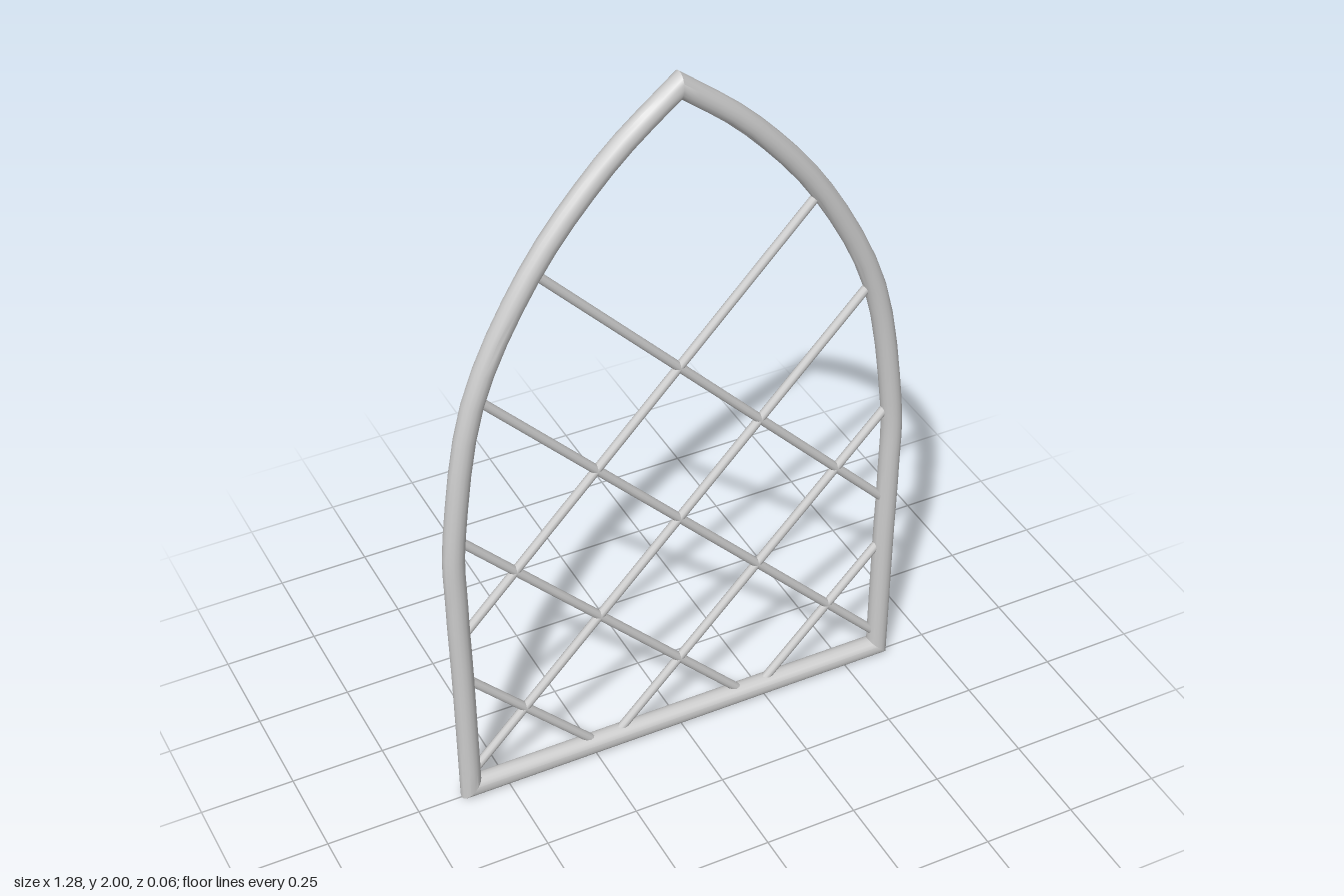
import * as THREE from 'three';
import { toCreasedNormals } from 'three/addons/utils/BufferGeometryUtils.js';

const FRAME_R = 0.028, BAR_R = 0.012, SIDES = 16;
const v2 = (x, y) => new THREE.Vector2(x, y);

// Centre line of the pointed arch, counter-clockwise from the lower right corner
function archOutline() {
  const half = new THREE.SplineCurve([
    v2(0.603, FRAME_R), v2(0.606, 0.4), v2(0.61, 0.65), v2(0.605, 0.87),
    v2(0.54, 1.245), v2(0.384, 1.564), v2(0.19, 1.803), v2(0, 1.964),
  ]).getPoints(28);
  const mirrored = half.slice(0, -1).reverse().map((p) => v2(-p.x, p.y));
  return [...half, ...mirrored];
}

// Round section swept around a closed flat path, with mitred corners
function mitredTube(path, radius) {
  const n = path.length, position = [], index = [];
  path.forEach((p, i) => {
    const tIn = p.clone().sub(path[(i + n - 1) % n]).normalize();
    const tOut = path[(i + 1) % n].clone().sub(p).normalize();
    const t = tIn.clone().add(tOut).normalize();
    const reach = radius / t.dot(tOut);
    for (let j = 0; j < SIDES; j++) {
      const a = (j / SIDES) * Math.PI * 2;
      const out = Math.cos(a) * reach;
      position.push(p.x + t.y * out, p.y - t.x * out, Math.sin(a) * radius);
      const k = (j + 1) % SIDES, m = ((i + 1) % n) * SIDES;
      const q = i * SIDES;
      index.push(q + j, m + j, q + k, m + j, m + k, q + k);
    }
  });
  const geometry = new THREE.BufferGeometry();
  geometry.setAttribute('position', new THREE.Float32BufferAttribute(position, 3));
  geometry.setIndex(index);
  return toCreasedNormals(geometry, 0.6);
}

// Points where the line y = slope * x + c meets the outline
function crossings(path, slope, c) {
  const hits = [];
  path.forEach((p, i) => {
    const q = path[(i + 1) % path.length];
    const dp = p.y - slope * p.x - c, dq = q.y - slope * q.x - c;
    if (dp * dq < 0) hits.push(p.clone().lerp(q, dp / (dp - dq)));
  });
  return hits;
}

export function createModel() {
  const group = new THREE.Group();
  group.name = 'latticeWindow';
  const material = new THREE.MeshStandardMaterial({ color: 0xcccccc });
  const outline = archOutline();

  // Outer frame
  const frame = new THREE.Mesh(mitredTube(outline, FRAME_R), material);
  frame.name = 'archFrame';
  group.add(frame);

  // Diagonal lattice, mirrored left and right
  const lattice = new THREE.Group();
  lattice.name = 'lattice';
  for (const slope of [1.05, -1.05]) {
    for (const c of [-0.225, 0.228, 0.702, 1.175]) {
      const [a, b] = crossings(outline, slope, c);
      const dir = b.clone().sub(a);
      const bar = new THREE.Mesh(new THREE.CylinderGeometry(BAR_R, BAR_R, dir.length(), 10), material);
      bar.position.set((a.x + b.x) / 2, (a.y + b.y) / 2, 0);
      bar.rotation.z = dir.angle() - Math.PI / 2;
      bar.name = 'latticeBar';
      lattice.add(bar);
    }
  }
  group.add(lattice);
  return group;
}
